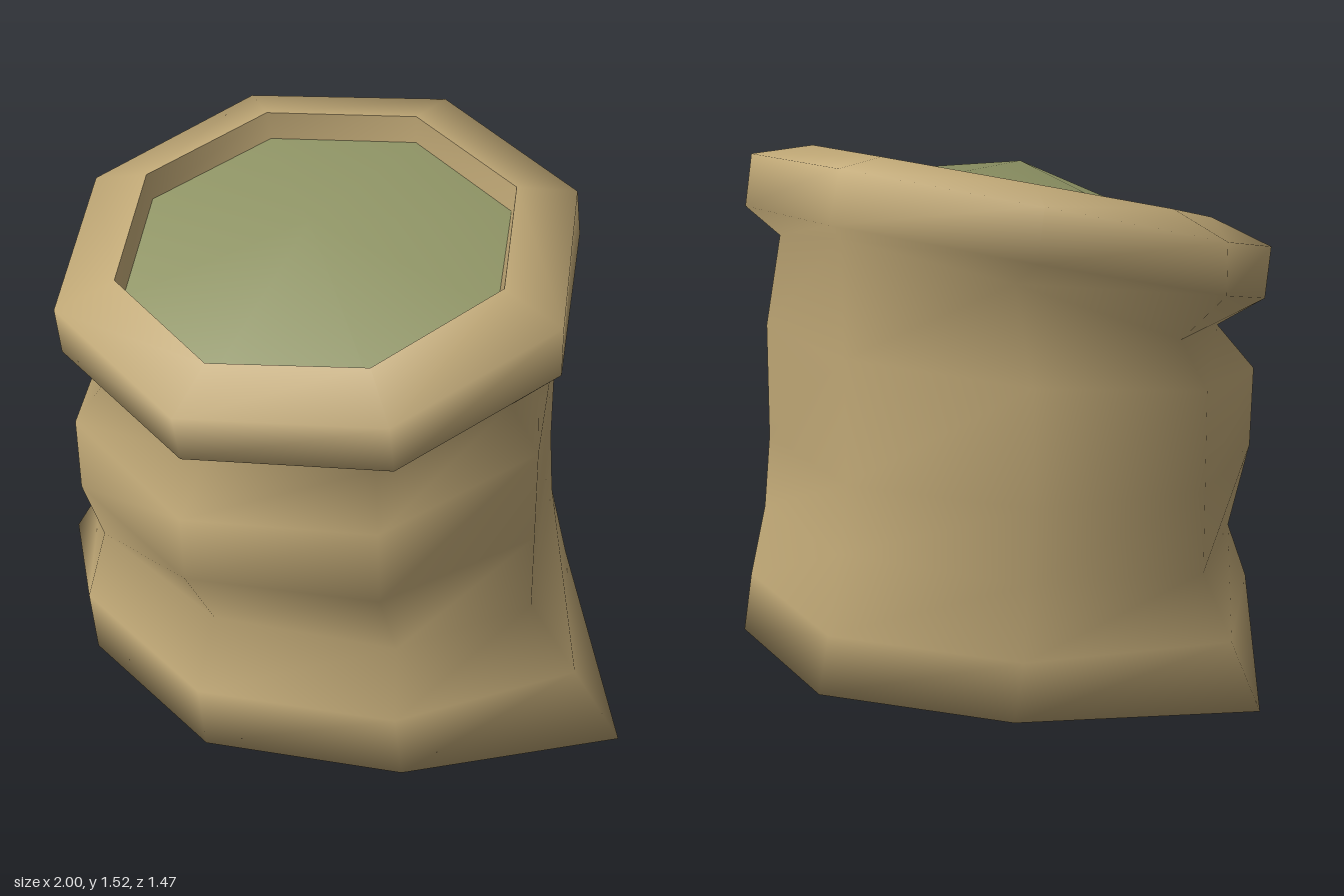
import * as THREE from 'three';

const SIDES = 8;

// Octagonal ring. Heights and depths are given at front, side and back.
// rx = side reach, dx = reach of the diagonal corners, cx = centre in x.
function ring({ y, z, rx, dx = rx * 0.707, cx = -0.05 }) {
  const [yF, yS, yB] = y, [zF, zB] = z;
  const mid = 0.01;
  const points = [];
  for (let i = 0; i < SIDES; i++) {
    const a = (i / SIDES) * Math.PI * 2;
    const s = Math.sin(a), c = Math.cos(a);
    const reach = i % 2 ? Math.sign(s) * dx : s * rx;
    const py = c >= 0 ? yS + (yF - yS) * c : yS - (yB - yS) * c;
    const pz = c >= 0 ? mid + (zF - mid) * c : mid - (zB - mid) * c;
    points.push([cx + reach, py, pz]);
  }
  return points;
}

// Skin over a stack of rings, with optional centre points closing the ends
function skin(rings, { bottom, top } = {}) {
  const pos = rings.flat(2);
  const index = [];
  const at = (r, i) => r * SIDES + (i % SIDES);
  for (let r = 0; r < rings.length - 1; r++) {
    for (let i = 0; i < SIDES; i++) {
      const a = at(r, i), b = at(r, i + 1), c = at(r + 1, i + 1), d = at(r + 1, i);
      index.push(a, b, c, a, c, d);
    }
  }
  const cap = (centre, r, up) => {
    const k = pos.length / 3;
    pos.push(...centre);
    for (let i = 0; i < SIDES; i++) {
      if (up) index.push(at(r, i), at(r, i + 1), k);
      else index.push(at(r, i + 1), at(r, i), k);
    }
  };
  if (bottom) cap(bottom, 0, false);
  if (top) cap(top, rings.length - 1, true);
  const g = new THREE.BufferGeometry();
  g.setAttribute('position', new THREE.Float32BufferAttribute(pos, 3));
  g.setIndex(index);
  g.computeVertexNormals();
  return g;
}

export function createModel() {
  const model = new THREE.Group();
  model.name = 'openSack';

  const burlap = new THREE.MeshStandardMaterial({ color: 0xc0a876 });
  burlap.name = 'burlap';
  const grain = new THREE.MeshStandardMaterial({ color: 0x8f9465 });
  grain.name = 'greenGrain';

  const add = (name, geometry, material) => {
    const mesh = new THREE.Mesh(geometry, material);
    mesh.name = name;
    model.add(mesh);
  };

  const lip = ring({ y: [1.23, 1.385, 1.525], z: [0.575, -0.51], rx: 0.61 });
  const fill = ring({ y: [1.17, 1.31, 1.44], z: [0.55, -0.51], rx: 0.59 });

  // Cloth: splayed base, sagging folds, pinched neck, rolled rim
  const cloth = [
    ring({ y: [0, 0, 0], z: [0.69, -0.735], rx: 1, dx: 0.55, cx: 0 }),
    ring({ y: [0.18, 0.18, 0.18], z: [0.69, -0.72], rx: 0.87, dx: 0.55, cx: -0.025 }),
    ring({ y: [0.36, 0.36, 0.42], z: [0.565, -0.7], rx: 0.74 }),
    ring({ y: [0.58, 0.6, 0.62], z: [0.7, -0.665], rx: 0.74 }),
    ring({ y: [0.79, 0.89, 0.98], z: [0.715, -0.667], rx: 0.74 }),
    ring({ y: [0.93, 1.02, 1.32], z: [0.585, -0.67], rx: 0.645 }),
    ring({ y: [0.985, 1.17, 1.365], z: [0.7, -0.715], rx: 0.8 }),
    ring({ y: [1.135, 1.32, 1.515], z: [0.735, -0.675], rx: 0.8 }),
    lip,
  ];
  add('sackCloth', skin(cloth, { bottom: [0, 0, 0] }), burlap);

  // Inside of the rim, down to the contents
  add('rimInside', skin([lip, fill]), burlap);

  // Heaped contents
  add('contents', skin([fill], { top: [-0.05, 1.435, 0.06] }), grain);

  return model;
}
